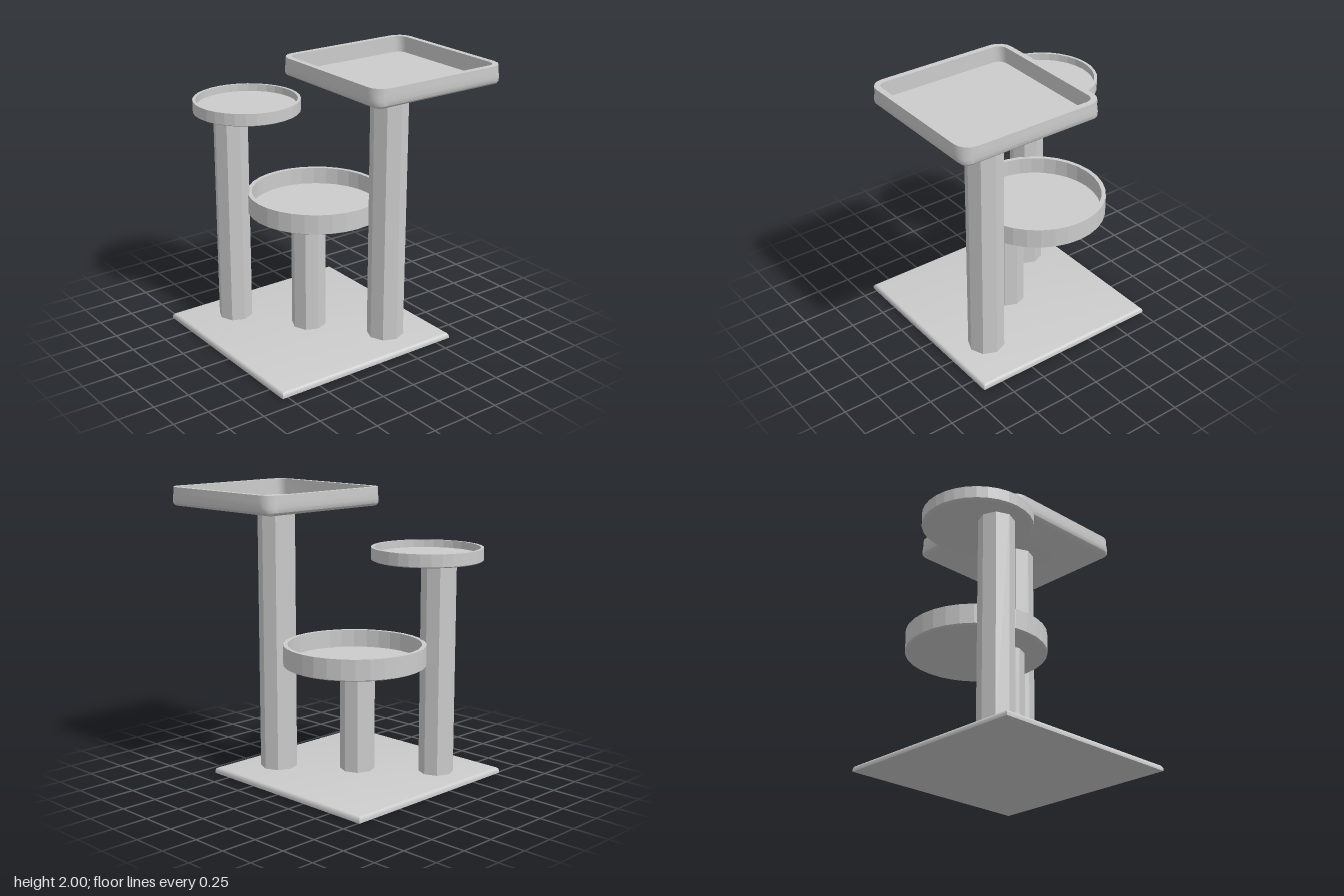
import * as THREE from 'three';
import { toCreasedNormals } from 'three/addons/utils/BufferGeometryUtils.js';

const smooth = new THREE.MeshStandardMaterial({ color: 0xcccccc });
const faceted = new THREE.MeshStandardMaterial({ color: 0xcccccc, flatShading: true });

// Skin rounded-square rings [y, half width, corner radius], from bottom centre around to top centre
function loftSquares(rings, segs = 4) {
  const pos = [], idx = [], n = 4 * (segs + 1);
  for (const [y, half, r] of rings) {
    for (let c = 0; c < 4; c++) {
      const mid = Math.PI / 4 + c * Math.PI / 2;
      const sx = Math.sign(Math.cos(mid)), sz = -Math.sign(Math.sin(mid));
      for (let s = 0; s <= segs; s++) {
        const a = (c + s / segs) * Math.PI / 2;
        pos.push(sx * (half - r) + r * Math.cos(a), y, sz * (half - r) - r * Math.sin(a));
      }
    }
  }
  for (let i = 0; i < rings.length - 1; i++) {
    for (let j = 0; j < n; j++) {
      const k = (j + 1) % n, a = i * n, b = a + n;
      idx.push(a + j, a + k, b + j, a + k, b + k, b + j);
    }
  }
  const g = new THREE.BufferGeometry();
  g.setAttribute('position', new THREE.Float32BufferAttribute(pos, 3));
  g.setIndex(idx);
  return toCreasedNormals(g, 0.6);
}

export function createModel() {
  const group = new THREE.Group();
  const add = (name, geometry, material, x, y, z) => {
    const mesh = new THREE.Mesh(geometry, material);
    mesh.name = name;
    mesh.position.set(x, y, z);
    group.add(mesh);
  };

  // Square base board with softened upper edges
  add('base', loftSquares([
    [0, 0, 0], [0, 0.705, 0], [0.018, 0.705, 0], [0.03, 0.7, 0],
    [0.037, 0.693, 0], [0.04, 0.683, 0], [0.04, 0, 0],
  ], 1), smooth, -0.085, 0, -0.055);

  // Octagonal posts
  const post = (name, x, z, r, top) => {
    const h = top - 0.035;
    add(name, new THREE.CylinderGeometry(r, r, h, 8), faceted, x, 0.035 + h / 2, z);
  };
  post('tallPost', 0.263, 0.377, 0.127, 1.88);
  post('middlePost', -0.42, -0.49, 0.12, 1.545);
  post('shortPost', -0.08, -0.06, 0.12, 0.84);

  // Round dishes with a raised rim
  const dish = (name, x, z, r, bottom, top, floor, wall) => {
    const profile = [
      [0, bottom], [r - 0.015, bottom], [r, bottom + 0.008], [r, top],
      [r - wall, top], [r - wall, floor], [0, floor],
    ].map(([px, py]) => new THREE.Vector2(px, py));
    add(name, new THREE.LatheGeometry(profile, 32), faceted, x, 0, z);
  };
  dish('lowDish', 0.08, -0.19, 0.48, 0.83, 0.975, 0.855, 0.03);
  dish('upperDish', -0.27, -0.515, 0.372, 1.535, 1.625, 1.575, 0.021);

  // Square top tray: rounded corners that tighten toward the underside
  add('topTray', loftSquares([
    [1.87, 0, 0], [1.87, 0.47, 0.003], [1.876, 0.492, 0.035], [1.89, 0.508, 0.065],
    [1.92, 0.515, 0.085], [1.96, 0.515, 0.098], [2, 0.515, 0.1],
    [2, 0.475, 0.06], [1.89, 0.475, 0.06], [1.89, 0, 0],
  ]), smooth, 0.27, 0, 0.372);

  return group;
}
